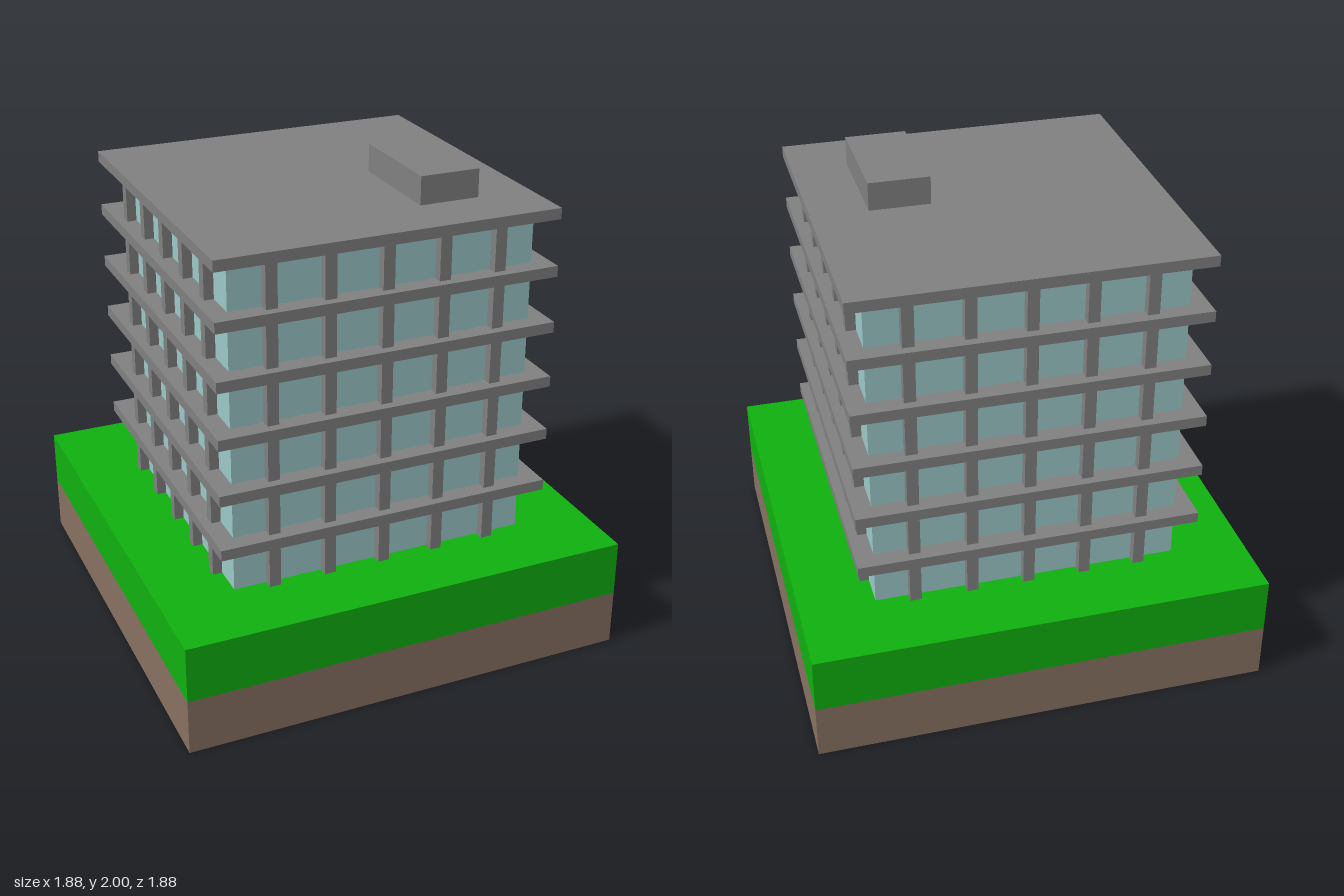
import * as THREE from 'three';

const material = (color, side = THREE.FrontSide) =>
  new THREE.MeshStandardMaterial({ color, side, flatShading: true });

const concrete = material(0x808080);
const glass = material(0x9cc8c8);
const grass = material(0x10b010, THREE.DoubleSide);
const soil = material(0x877162, THREE.DoubleSide);

const LAWN_TOP = 0.471, STOREY = 0.2355, SLAB = 0.045, FLOORS = 6;

function box(name, mat, w, h, d, x, y, z) {
  const mesh = new THREE.Mesh(new THREE.BoxGeometry(w, h, d), mat);
  mesh.name = name;
  mesh.position.set(x, y, z);
  return mesh;
}

// Square ring of walls, open at top and bottom
function openWalls(name, mat, half, y0, y1) {
  const r = half * Math.SQRT2;
  const geo = new THREE.CylinderGeometry(r, r, y1 - y0, 4, 1, true, Math.PI / 4);
  const mesh = new THREE.Mesh(geo, mat);
  mesh.name = name;
  mesh.position.y = (y0 + y1) / 2;
  return mesh;
}

export function createModel() {
  const model = new THREE.Group();
  model.name = 'officeBuilding';

  // Hollow plot of ground, open underneath
  const ground = new THREE.Group();
  ground.name = 'ground';
  ground.add(openWalls('soilWalls', soil, 0.94, 0, STOREY));
  ground.add(openWalls('lawnWalls', grass, 0.94, STOREY, LAWN_TOP));
  const lawn = new THREE.Mesh(new THREE.PlaneGeometry(1.88, 1.88), grass);
  lawn.name = 'lawn';
  lawn.rotation.x = -Math.PI / 2;
  lawn.position.y = LAWN_TOP;
  ground.add(lawn);
  model.add(ground);

  // Storeys: glazing, overhanging slab, five columns on each side
  for (let i = 0; i < FLOORS; i++) {
    const storey = new THREE.Group();
    storey.name = `storey${i + 1}`;
    storey.position.y = LAWN_TOP + i * STOREY;
    const wallH = STOREY - SLAB;
    storey.add(box('glazing', glass, 1.26, wallH, 1.26, 0, wallH / 2, 0));
    storey.add(box('floorSlab', concrete, 1.412, SLAB, 1.412, 0, STOREY - SLAB / 2, 0));
    for (let s = 0; s < 4; s++) {
      const side = new THREE.Group();
      side.name = 'columnRow';
      side.rotation.y = s * Math.PI / 2;
      for (let c = -2; c <= 2; c++) {
        side.add(box('column', concrete, 0.047, wallH, 0.094, c * STOREY, wallH / 2, 0.622));
      }
      storey.add(side);
    }
    model.add(storey);
  }

  // Rooftop plant room
  const roofY = LAWN_TOP + FLOORS * STOREY;
  model.add(box('plantRoom', concrete, 0.25, 2 - roofY, 0.466, 0.35, (2 + roofY) / 2, 0.233));

  return model;
}
